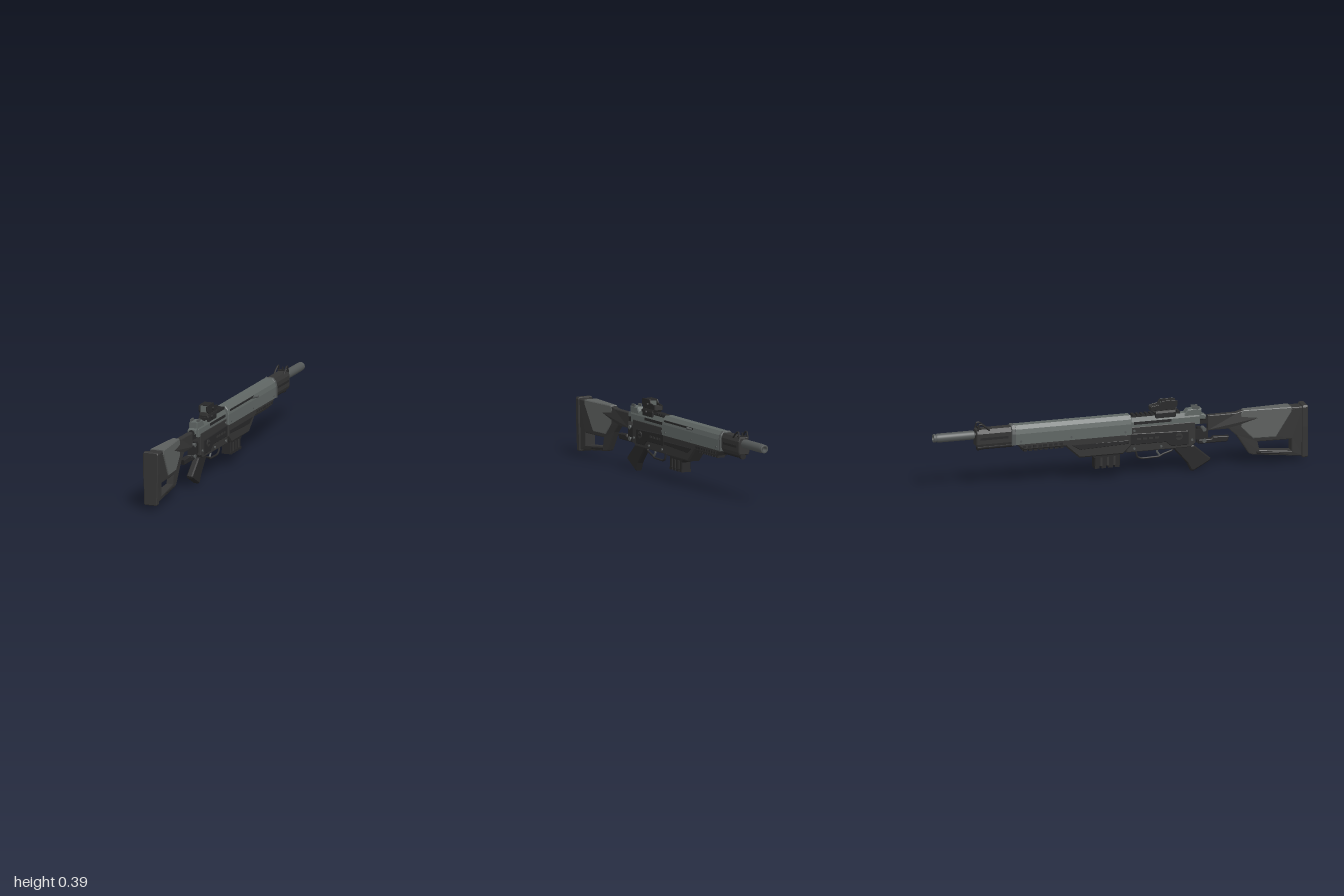
import * as THREE from 'three';

const mat = (name, color) => Object.assign(new THREE.MeshStandardMaterial({ color }), { name });
const dark = mat('darkPolymer', 0x343434);
const black = mat('blackSteel', 0x272728);
const grey = mat('greyGreen', 0x5f6664);
const steel = mat('greySteel', 0x535757);
const panel = mat('cheekGrey', 0x5c5f5e);

export function createModel() {
  const gun = new THREE.Group();
  gun.name = 'rifle';
  gun.position.x = -0.0125;

  const add = (name, geo, m, x = 0, y = 0, z = 0) => {
    const mesh = new THREE.Mesh(geo, m);
    mesh.name = name;
    mesh.position.set(x, y, z);
    gun.add(mesh);
    return mesh;
  };
  const shapeOf = (pts, hole) => {
    const s = new THREE.Shape(pts.map(p => new THREE.Vector2(...p)));
    if (hole) s.holes.push(new THREE.Path(hole.map(p => new THREE.Vector2(...p))));
    return s;
  };
  const extrude = (shape, w, b) => new THREE.ExtrudeGeometry(shape, {
    depth: w - 2 * b, bevelEnabled: b > 0, bevelThickness: b, bevelSize: b, bevelOffset: -b, bevelSegments: 1, curveSegments: 6,
  }).translate(0, 0, b - w / 2);
  // Side outline in [z, y], width across x; widen(z, y) scales the width
  const side = (name, pts, w, m, { b = 0.004, hole, x = 0, widen } = {}) => {
    const g = extrude(shapeOf(pts, hole), w, b).rotateY(-Math.PI / 2);
    if (widen) {
      const p = g.attributes.position;
      for (let i = 0; i < p.count; i++) p.setX(i, p.getX(i) * widen(p.getZ(i), p.getY(i)));
      g.computeVertexNormals();
    }
    return add(name, g, m, x);
  };
  // Mirrored cross-section in [x, y], running from z0 to z1
  const slice = (name, half, z0, z1, m, b = 0.003) => {
    const pts = [...half, ...half.map(([x, y]) => [-x, y]).reverse()];
    return add(name, extrude(shapeOf(pts), Math.abs(z1 - z0), b), m, 0, 0, (z0 + z1) / 2);
  };
  const box = (name, w, h, d, x, y, z, m) => add(name, new THREE.BoxGeometry(w, h, d), m, x, y, z);
  const rod = (name, r, z0, z1, y, m, x = 0, n = 24) =>
    add(name, new THREE.CylinderGeometry(r, r, Math.abs(z1 - z0), n).rotateX(Math.PI / 2), m, x, y, (z0 + z1) / 2);
  const pin = (name, r, w, x, y, z, m) =>
    add(name, new THREE.CylinderGeometry(r, r, w, 16).rotateZ(Math.PI / 2), m, x, y, z);
  const tube = (name, pts, r, m) => add(name, new THREE.TubeGeometry(
    new THREE.CatmullRomCurve3(pts.map(p => new THREE.Vector3(...p)), false, 'catmullrom', 0.1), 28, r, 8), m);

  // Stock
  const flare = z => 0.42 + 0.58 * THREE.MathUtils.clamp((z - 0.62) / 0.3, 0, 1);
  side('stock', [[0.975, 0.3], [0.65, 0.3], [0.62, 0.292], [0.47, 0.292], [0.47, 0.212], [0.58, 0.212], [0.625, 0.17],
    [0.69, 0.07], [0.71, 0.062], [0.975, 0.035]], 0.07, dark,
  { hole: [[0.915, 0.13], [0.915, 0.066], [0.745, 0.083], [0.735, 0.13]], widen: (z, y) => flare(z) * (y < 0.15 ? 0.82 : 1) });
  side('cheekPanel', [[0.912, 0.304], [0.66, 0.304], [0.645, 0.285], [0.645, 0.215], [0.71, 0.15], [0.83, 0.15], [0.912, 0.28]],
    0.077, panel, { widen: z => flare(z) * 1.02 });
  side('stockToeRib', [[0.965, 0.055], [0.965, 0.043], [0.73, 0.066], [0.73, 0.077]], 0.05, black, { b: 0.002 });
  slice('buttPad', [[0.032, 0.028], [0.036, 0.034], [0.038, 0.12], [0.042, 0.195], [0.042, 0.298], [0.037, 0.308]], 0.968, 1, dark, 0.004);

  // Folding hinge
  side('hingeArm', [[0.585, 0.172], [0.575, 0.144], [0.42, 0.144], [0.42, 0.165], [0.49, 0.165], [0.5, 0.176]], 0.03, black);
  box('hingeBlock', 0.034, 0.05, 0.07, 0, 0.195, 0.435, black);
  box('hingeUpperLink', 0.026, 0.03, 0.08, 0, 0.265, 0.44, black);
  for (const y of [0.16, 0.22]) pin('hingePin', 0.011, 0.042, 0, y, 0.45, steel);
  add('hingePost', new THREE.CylinderGeometry(0.011, 0.011, 0.085, 12), black, 0.008, 0.19, 0.425);

  // Receiver
  side('lowerReceiver', [[0.4, 0.27], [0.03, 0.27], [0.03, 0.135], [0.37, 0.135], [0.4, 0.155]], 0.056, dark);
  side('receiverSidePanel', [[0.36, 0.225], [0.05, 0.235], [0.05, 0.175], [0.24, 0.175], [0.27, 0.15], [0.36, 0.15]], 0.063, black, { b: 0.003 });
  slice('upperReceiver', [[0.026, 0.255], [0.026, 0.295], [0.017, 0.318]], 0.05, 0.425, grey);
  side('rearSightBlock', [[0.435, 0.335], [0.36, 0.335], [0.34, 0.31], [0.34, 0.29], [0.455, 0.275], [0.455, 0.3], [0.435, 0.305]], 0.046, grey);
  rod('rearKnob', 0.017, 0.425, 0.46, 0.282, black);
  for (const s of [-1, 1]) {
    box('sightEar', 0.007, 0.018, 0.035, s * 0.018, 0.338, 0.405, steel);
    box('boltSlot', 0.004, 0.014, 0.2, s * 0.026, 0.288, 0.17, black);
    pin('selectorDisc', 0.019, 0.006, s * 0.032, 0.2, 0.31, dark);
    box('selectorLever', 0.004, 0.009, 0.034, s * 0.036, 0.2, 0.303, black);
    for (const [z, y] of [[0.38, 0.175], [0.215, 0.155], [0.07, 0.155], [0.07, 0.25]])
      pin('receiverPin', 0.006, 0.006, s * 0.031, y, z, steel);
    for (let i = 0; i < 4; i++) box('receiverRib', 0.003, 0.01, 0.022, s * 0.032, 0.205, 0.19 - i * 0.032, dark);
  }

  // Top rail
  box('topRail', 0.034, 0.014, 0.27, 0, 0.318, 0.185, black);
  for (let i = 0; i < 11; i++) box('railTooth', 0.04, 0.01, 0.013, 0, 0.328, 0.07 + i * 0.024, black);

  // Optic
  slice('opticMount', [[0.027, 0.305], [0.027, 0.33], [0.02, 0.35]], 0.185, 0.295, black);
  side('opticBody', [[0.3, 0.355], [0.3, 0.338], [0.22, 0.325], [0.18, 0.332], [0.162, 0.345], [0.162, 0.365], [0.21, 0.365]], 0.046, dark);
  for (const s of [-1, 1])
    side('hoodSide', [[0.305, 0.388], [0.29, 0.394], [0.22, 0.394], [0.208, 0.376], [0.165, 0.368], [0.165, 0.345], [0.285, 0.345], [0.305, 0.365]],
      0.007, black, { b: 0.0015, x: s * 0.0215 });
  box('hoodRoof', 0.04, 0.006, 0.065, 0, 0.39, 0.255, black);
  box('opticLens', 0.037, 0.034, 0.006, 0, 0.371, 0.288, grey);
  box('opticFrontLens', 0.037, 0.034, 0.006, 0, 0.371, 0.226, grey);
  pin('opticKnob', 0.008, 0.012, 0.029, 0.367, 0.235, black);
  pin('mountScrew', 0.009, 0.01, 0.03, 0.325, 0.25, black);

  // Grip, trigger and guard
  side('grip', [[0.395, 0.14], [0.485, 0.062], [0.48, 0.05], [0.395, 0.004], [0.38, 0.004], [0.36, 0.045], [0.29, 0.125], [0.28, 0.14]],
    0.034, black, { b: 0.006 });
  tube('triggerGuard', [[0, 0.14, 0.295], [0, 0.118, 0.28], [0, 0.104, 0.235], [0, 0.092, 0.21], [0, 0.09, 0.12], [0, 0.1, 0.095], [0, 0.14, 0.085]], 0.0055, black);
  tube('trigger', [[0, 0.145, 0.205], [0, 0.12, 0.2], [0, 0.1, 0.215]], 0.0055, steel);

  // Handguard
  slice('upperHandguard', [[0.04, 0.234], [0.04, 0.29], [0.035, 0.314], [0.02, 0.333]], 0.055, -0.57, grey, 0.004);
  slice('handguardCollar', [[0.041, 0.232], [0.041, 0.292], [0.035, 0.316], [0.02, 0.335]], -0.565, -0.588, steel);
  side('lowerHandguard', [[0.054, 0.24], [0.054, 0.172], [0.01, 0.132], [-0.225, 0.132], [-0.3, 0.2], [-0.525, 0.2], [-0.57, 0.24]],
    0.074, dark, { b: 0.008 });
  side('handguardBelly', [[0.04, 0.205], [0.04, 0.185], [-0.22, 0.175], [-0.27, 0.205]], 0.078, black, { b: 0.003 });
  for (const s of [-1, 1]) {
    for (let i = 0; i < 8; i++) box('vent', 0.004, 0.012, 0.018, s * 0.037, 0.218, -0.325 - i * 0.028, black);
    for (const z of [0.02, -0.27, -0.54]) pin('handguardScrew', 0.006, 0.004, s * 0.04, 0.25, z, steel);
  }
  box('underRail', 0.036, 0.01, 0.225, 0, 0.201, -0.415, black);
  for (let i = 0; i < 8; i++) box('underRailTooth', 0.042, 0.012, 0.017, 0, 0.195, -0.315 - i * 0.028, black);

  // Charging slot and handle
  box('chargingSlot', 0.006, 0.009, 0.31, 0.036, 0.308, -0.125, black);
  tube('chargingHandle', [[0.03, 0.303, -0.27], [0.045, 0.307, -0.27], [0.06, 0.311, -0.27]], 0.0055, steel);
  pin('handleKnob', 0.008, 0.009, 0.0625, 0.312, -0.27, steel);

  // Magazine with a stepped floor
  side('magazine', [[-0.005, 0.14], [-0.005, 0.072], [-0.14, 0.072], [-0.14, 0.115], [-0.165, 0.14]], 0.052, black);
  for (let i = 0; i < 4; i++) box('magazineFoot', 0.056, 0.014, 0.024, 0, 0.071, -0.02 - i * 0.036, black);
  for (const s of [-1, 1])
    for (let i = 0; i < 3; i++) box('magazineRib', 0.004, 0.045, 0.012, s * 0.027, 0.1, -0.035 - i * 0.035, dark);

  // Gas block, front sight and barrel
  slice('gasBlock', [[0.026, 0.236], [0.032, 0.25], [0.032, 0.305], [0.022, 0.327]], -0.585, -0.775, dark, 0.004);
  for (const s of [-1, 1]) {
    box('gasBlockGroove', 0.004, 0.012, 0.15, s * 0.032, 0.278, -0.68, black);
    tube('frontSightWing', [[s * 0.026, 0.32, -0.705], [s * 0.026, 0.338, -0.725], [s * 0.024, 0.353, -0.745], [s * 0.024, 0.353, -0.76], [s * 0.026, 0.32, -0.768]], 0.0045, black);
  }
  box('frontSightBridge', 0.054, 0.006, 0.012, 0, 0.331, -0.755, black);
  box('frontSightPost', 0.005, 0.022, 0.006, 0, 0.338, -0.755, black);
  rod('gasTube', 0.013, -0.57, -0.76, 0.228, black);
  rod('gasPlug', 0.016, -0.745, -0.765, 0.228, black);
  rod('barrel', 0.015, -0.76, -0.8, 0.296, black);
  const profile = [[0.011, 0], [0.019, 0], [0.0235, 0.006], [0.0235, 0.196], [0.02, 0.202], [0.02, 0.208], [0.022, 0.209],
    [0.022, 0.217], [0.02, 0.22], [0.01, 0.22], [0.01, 0.18], [0, 0.18]];
  const suppressor = new THREE.LatheGeometry(profile.map(p => new THREE.Vector2(...p)), 28).rotateX(-Math.PI / 2);
  add('muzzleSleeve', suppressor, steel, 0, 0.296, -0.78);
  return gun;
}
